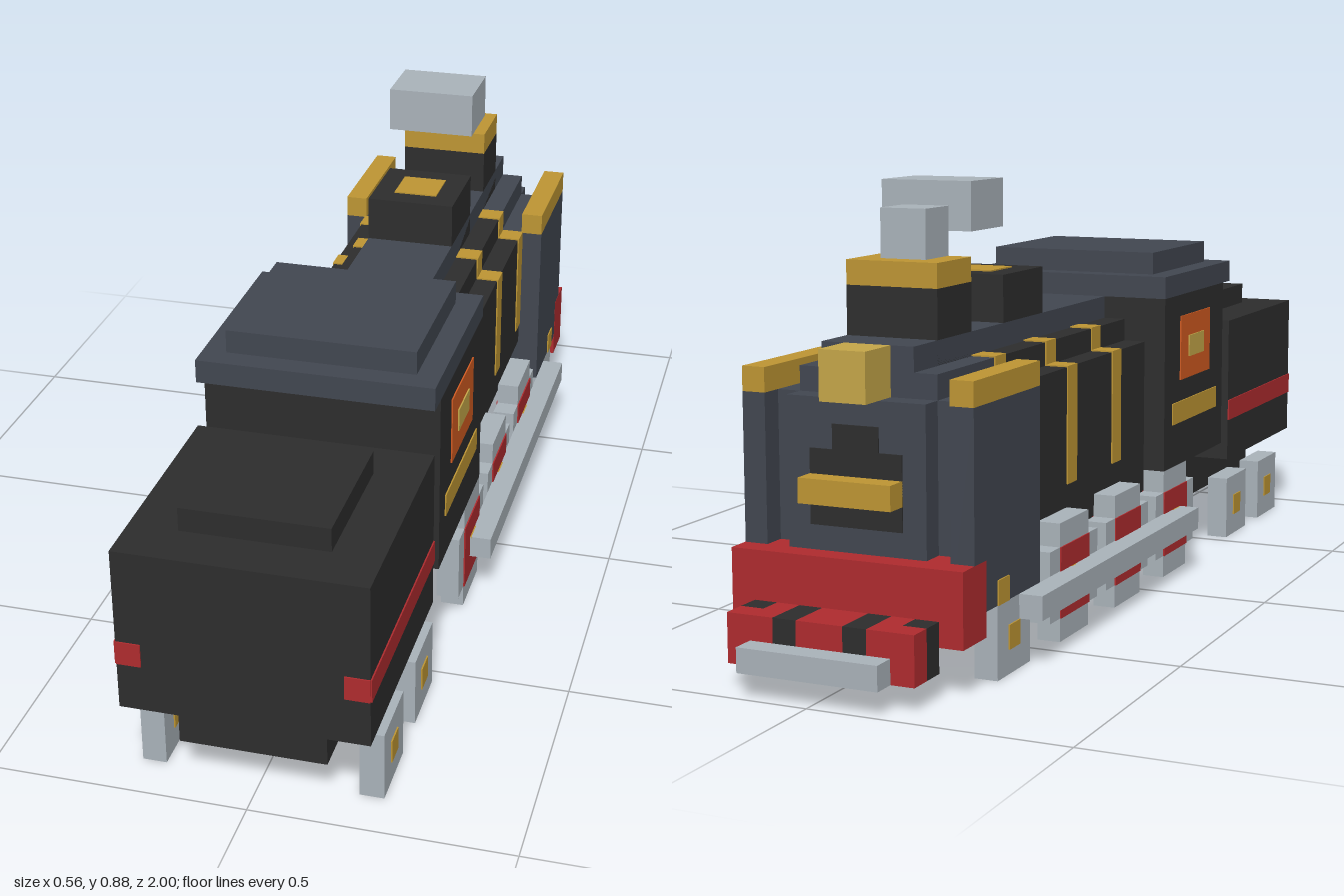
import * as THREE from 'three';

const U = 2 / 43; // one block
const P = 0.06;   // painted plate thickness, in blocks

export function createModel() {
  const paint = (name, hex) => {
    const m = new THREE.MeshStandardMaterial({ color: hex });
    m.name = name;
    return m;
  };
  const black = paint('coal black', 0x2d2d2d);
  const slate = paint('slate', 0x414650);
  const gold = paint('brass', 0xbd9533);
  const bright = paint('bright brass', 0xc4a648);
  const red = paint('red', 0xae2b2e);
  const orange = paint('orange', 0xcf5a20);
  const steel = paint('pale steel', 0xa9b2b9);

  const root = new THREE.Group();
  root.name = 'steamLocomotive';

  // Box from block bounds; k counts blocks from the tender's rear to the nose
  function box(name, mat, x0, x1, y0, y1, k0, k1) {
    const g = new THREE.BoxGeometry((x1 - x0) * U, (y1 - y0) * U, (k1 - k0) * U);
    const m = new THREE.Mesh(g, mat);
    m.name = name;
    m.position.set((x0 + x1) / 2 * U, (y0 + y1) / 2 * U, (21.5 - (k0 + k1) / 2) * U);
    root.add(m);
  }
  const mid = (name, mat, w, ...r) => box(name, mat, -w, w, ...r);
  const pair = (name, mat, x0, x1, ...r) => {
    box(name + 'Left', mat, x0, x1, ...r);
    box(name + 'Right', mat, -x1, -x0, ...r);
  };

  // Tender
  mid('tenderChassis', black, 3, 2, 4, 1, 10);
  mid('tenderBody', black, 5, 4, 11, 0, 10);
  mid('tenderCoal', black, 3, 11, 12, 2, 8);
  pair('tenderStripe', red, 5, 5 + P, 6, 7, 0, 10);
  pair('tenderStripeEnd', red, 4, 5, 6, 7, -P, 0);

  // Cab
  mid('chassis', black, 3, 2, 5, 10, 38);
  mid('cab', black, 5, 5, 13, 11, 19);
  mid('cabRoof', slate, 5, 13, 14, 10, 19);
  mid('cabRoofCap', slate, 4, 14, 15, 11, 18);
  pair('cabWindow', orange, 5, 5 + P, 9, 12, 13, 17);
  pair('cabWindowGlow', bright, 5 + P, 5 + 2 * P, 10, 11, 14, 16);
  pair('cabTrim', gold, 5, 5 + P, 7, 8, 12, 18);

  // Stepped boiler with brass bands
  mid('boiler', black, 4, 5, 11, 19, 33);
  mid('boilerShoulder', black, 3, 11, 12, 19, 33);
  mid('boilerTop', slate, 2, 12, 13, 19, 38);
  for (const k of [22, 27, 32]) {
    pair('bandSide', gold, 4, 4 + P, 6, 11 + P, k, k + 1);
    pair('bandStep', gold, 3, 4, 11, 11 + P, k, k + 1);
    pair('bandRiser', gold, 3, 3 + P, 11 + P, 12 + P, k, k + 1);
    pair('bandTop', gold, 2, 3, 12, 12 + P, k, k + 1);
  }

  // Dome, chimney and smoke
  mid('dome', black, 2, 12, 15, 26, 30);
  mid('domeCap', gold, 1, 15, 15 + P, 27, 29);
  mid('chimney', black, 2, 12, 15, 33, 36);
  mid('chimneyCap', gold, 2, 15, 16, 33, 36);
  mid('smokeColumn', steel, 1, 16, 18, 33, 35);
  mid('smokePuff', steel, 2, 17, 19, 30, 33);

  // Smokebox and side deflectors
  mid('smokebox', slate, 4, 2, 11, 33, 38);
  mid('smokeboxShoulder', slate, 3, 11, 12, 33, 38);
  mid('smokeboxDoor', slate, 3, 5, 11, 38, 39);
  mid('doorPanel', black, 2, 6, 9, 39, 39 + P);
  mid('doorPanelArch', black, 1, 9, 10, 39, 39 + P);
  pair('deflector', slate, 4, 5, 3, 11, 33, 39);
  pair('deflectorTrim', gold, 4, 5, 11, 12, 33, 39);
  pair('deflectorStud', gold, 5, 5 + P, 3, 4, 36, 37);
  mid('doorRail', gold, 2, 7, 8, 39, 40);
  mid('headlamp', bright, 1, 11, 13, 38, 40);

  // Front beam and striped pilot
  mid('frontBeam', red, 5.01, 2, 5, 38, 40);
  mid('pilotCentre', red, 1, 1, 3, 40, 42);
  pair('pilotDarkStripe', black, 1, 2, 1, 3, 40, 42);
  pair('pilotRedStripe', red, 2, 3, 1, 3, 40, 42);
  pair('pilotCornerRear', black, 3, 4, 1, 3, 40, 41);
  pair('pilotCornerFront', red, 3, 4, 1, 3, 41, 42);
  mid('coupler', steel, 3, 1, 2, 42, 43);

  // Small wheels with brass hubs on both faces
  for (const k of [2, 7, 34]) {
    pair('smallWheel', steel, 4, 5, 0, 3, k, k + 3);
    pair('smallHub', gold, 4 - P, 5 + P, 1, 2, k + 1, k + 2);
  }

  // Driving wheels with red centres, joined by a rod
  for (const k of [16, 22, 28]) {
    pair('driveWheel', steel, 4, 5, 0, 5, k, k + 3);
    pair('driveWheelRear', steel, 4, 5, 1, 4, k - 1, k);
    pair('driveWheelFront', steel, 4, 5, 1, 4, k + 3, k + 4);
    pair('driveCentre', red, 4 - P, 5 + P, 1, 4, k, k + 3);
    pair('driveHub', gold, 4 - 2 * P, 5 + 2 * P, 2, 3, k + 1, k + 2);
  }
  pair('couplingRod', steel, 5, 6, 2, 3, 17, 35);

  return root;
}
